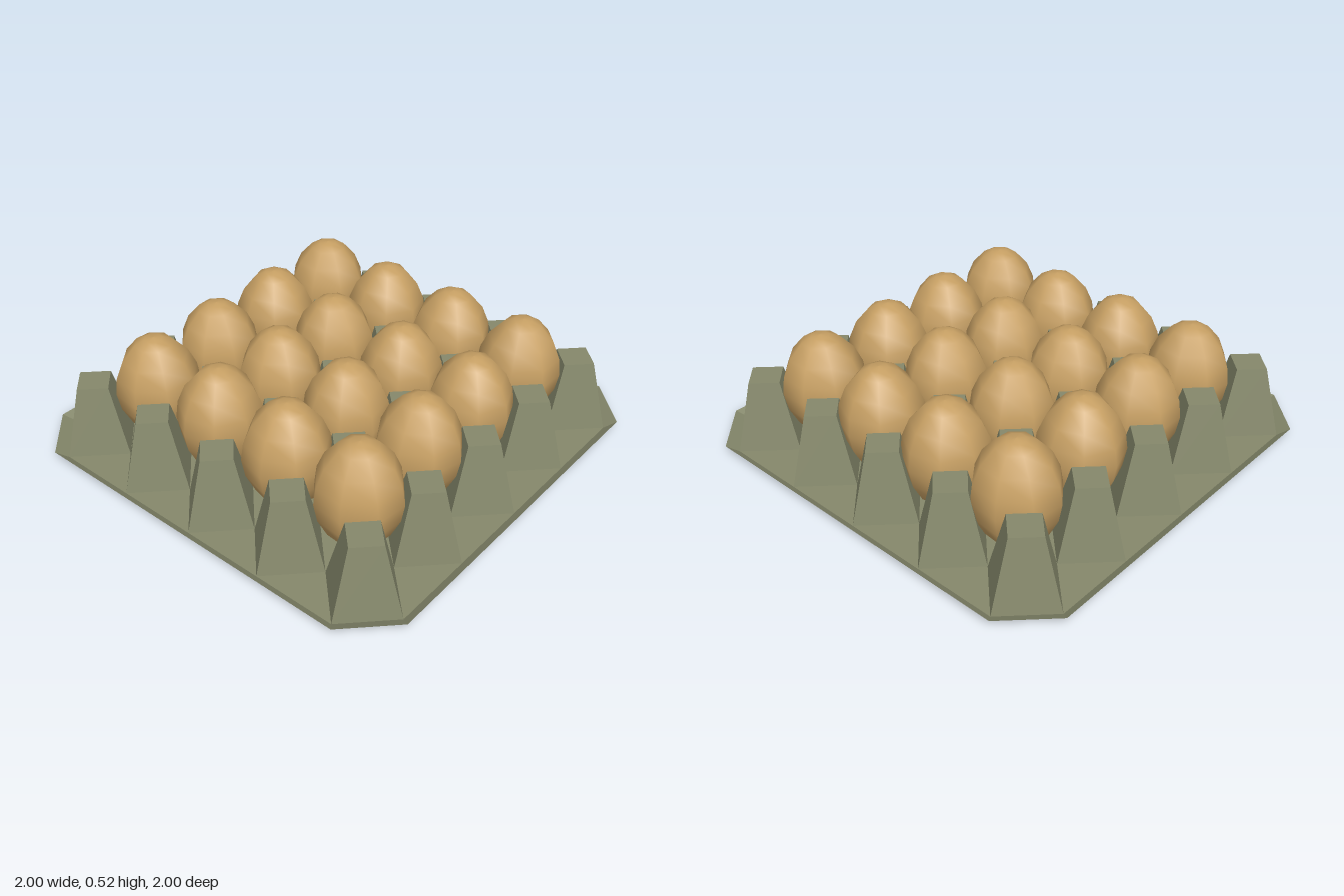
import * as THREE from 'three';

const PITCH = 0.382, PEG_H = 0.315;

export function createModel() {
  const model = new THREE.Group();
  const card = new THREE.MeshStandardMaterial({ color: 0x85886b, flatShading: true, side: THREE.DoubleSide });
  card.name = 'olive card';
  const shell = new THREE.MeshStandardMaterial({ color: 0xc69f63 });
  shell.name = 'brown eggshell';

  const add = (name, geometry, material, parent = model) => {
    const mesh = new THREE.Mesh(geometry, material);
    mesh.name = name;
    parent.add(mesh);
    return mesh;
  };

  // floor: chamfered square with a diamond left open under each corner peg
  const c = 2 * PITCH, r = PITCH / 2;
  const floorShape = new THREE.Shape();
  const corner = [[c + r, c], [c, c - r], [c - r, c], [c, c + r]];
  const outline = [];
  for (let q = 0; q < 4; q++) {
    for (const [x, y] of corner) {
      outline.push(new THREE.Vector2(x, y).rotateAround(new THREE.Vector2(), q * Math.PI / 2));
    }
  }
  floorShape.setFromPoints(outline);
  add('trayFloor', new THREE.ShapeGeometry(floorShape).rotateX(-Math.PI / 2), card);

  // flared lip around the floor
  const octagon = (half, cut, y) => {
    const a = half - cut;
    return [[half, a], [a, half], [-a, half], [-half, a], [-half, -a], [-a, -half], [a, -half], [half, -a]]
      .map(([x, z]) => [x, y, z]);
  };
  const low = octagon(c + r, r, 0), high = octagon(1, 0.2, 0.035);
  const lip = [];
  for (let i = 0; i < 8; i++) {
    const j = (i + 1) % 8;
    lip.push(...low[i], ...low[j], ...high[i], ...high[i], ...low[j], ...high[j]);
  }
  const lipGeometry = new THREE.BufferGeometry();
  lipGeometry.setAttribute('position', new THREE.Float32BufferAttribute(lip, 3));
  lipGeometry.computeVertexNormals();
  add('trayLip', lipGeometry, card);

  // hollow pegs: four-sided, set cornerwise, open underneath
  const pegSide = new THREE.CylinderGeometry(r / 2, r, PEG_H, 4, 1, true).translate(0, PEG_H / 2, 0);
  const pegTop = new THREE.CircleGeometry(r / 2, 4).rotateX(-Math.PI / 2).translate(0, PEG_H, 0);
  for (let i = -2; i <= 2; i++) {
    for (let k = -2; k <= 2; k++) {
      const peg = new THREE.Group();
      peg.name = 'peg';
      add('pegSide', pegSide, card, peg);
      add('pegTop', pegTop, card, peg);
      peg.position.set(i * PITCH, 0, k * PITCH);
      model.add(peg);
    }
  }

  // eggs: eight-sided lathe, each turned and leaning a little
  const profile = [[0, 0.025], [0.075, 0.04], [0.135, 0.095], [0.176, 0.18], [0.191, 0.265],
    [0.18, 0.345], [0.146, 0.425], [0.085, 0.495], [0.04, 0.517], [0, 0.522]]
    .map(([x, y]) => new THREE.Vector2(x, y));
  const eggGeometry = new THREE.LatheGeometry(profile, 8);
  let seed = 7;
  const rand = () => (seed = (seed * 16807) % 2147483647) / 2147483647;
  for (let row = 0; row < 4; row++) {
    for (let col = 0; col < 4; col++) {
      const egg = add('egg', eggGeometry, shell);
      egg.position.set((col - 1.5) * PITCH, 0, (row - 1.5) * PITCH - 0.015);
      egg.rotation.set((rand() - 0.5) * 0.04, rand() * Math.PI * 2, (rand() - 0.5) * 0.04);
    }
  }
  return model;
}
